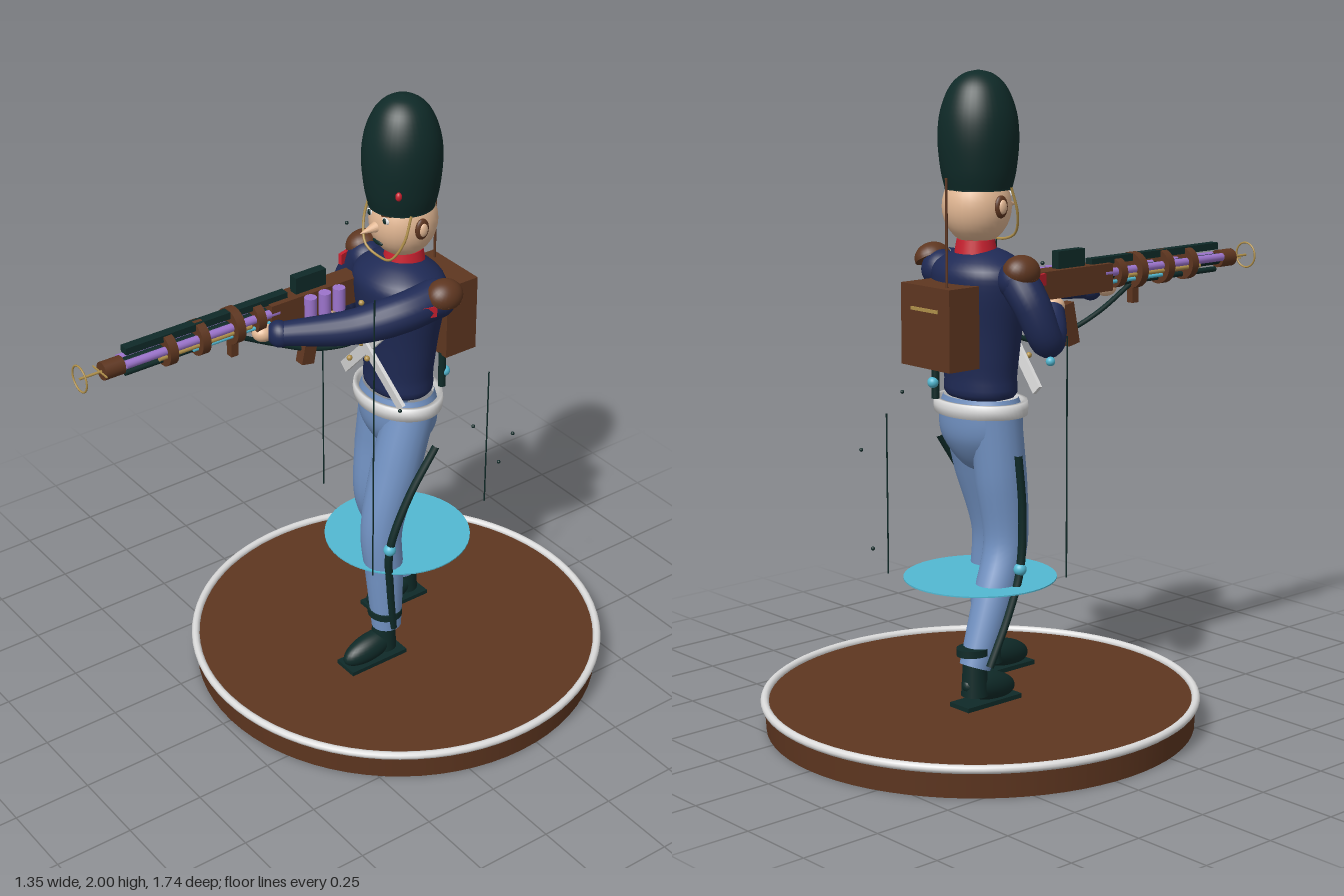
import * as THREE from 'three';

const mat = (name, color, side = THREE.FrontSide) => {
  const m = new THREE.MeshStandardMaterial({ color, side });
  m.name = name;
  return m;
};
const V = (p) => new THREE.Vector3(...p);

export function createModel() {
  const M = {
    brown: mat('brown', 0x5e3620),
    dark: mat('dark green', 0x0f2a28),
    white: mat('white', 0xdcdcdc),
    navy: mat('navy', 0x1f2a55),
    blue: mat('trouser blue', 0x7090c0),
    skin: mat('skin', 0xe3b894),
    red: mat('red', 0xc8202f),
    gold: mat('gold', 0xb0904a),
    cyan: mat('cyan', 0x52b8d2, THREE.DoubleSide),
    purple: mat('purple', 0x9c74cc),
  };
  const root = new THREE.Group();
  const add = (name, geo, m, pos = [0, 0, 0], rot = [0, 0, 0], scale = [1, 1, 1]) => {
    const mesh = new THREE.Mesh(geo, m);
    mesh.name = name;
    mesh.position.set(...pos);
    mesh.rotation.set(...rot);
    mesh.scale.set(...scale);
    root.add(mesh);
    return mesh;
  };
  const box = (w, h, d) => new THREE.BoxGeometry(w, h, d);
  const cyl = (r, h, r2 = r, n = 20) => new THREE.CylinderGeometry(r2, r, h, n);
  const ball = (name, m, pos, scale, rot) =>
    add(name, new THREE.SphereGeometry(1, 28, 18), m, pos, rot, scale);
  const lathe = (pts, n = 40, smooth = true) => {
    let p = pts.map((a) => new THREE.Vector2(...a));
    if (smooth) p = new THREE.SplineCurve(p).getPoints(28).map((q) => q.set(Math.max(q.x, 0), q.y));
    return new THREE.LatheGeometry(p, n);
  };
  // Tube through points whose radius varies along its length
  const limb = (name, m, pts, radii, seg = 18) => {
    const curve = new THREE.CatmullRomCurve3(pts.map(V));
    const n = 28, g = new THREE.TubeGeometry(curve, n, 1, seg), a = g.attributes.position;
    const v = new THREE.Vector3();
    for (let i = 0; i <= n; i++) {
      const c = curve.getPointAt(i / n), t = (i / n) * (radii.length - 1);
      const k = Math.min(Math.floor(t), radii.length - 2);
      const r = radii.length > 1 ? THREE.MathUtils.lerp(radii[k], radii[k + 1], t - k) : radii[0];
      for (let j = 0; j <= seg; j++) {
        const q = i * (seg + 1) + j;
        v.fromBufferAttribute(a, q).sub(c).multiplyScalar(r).add(c);
        a.setXYZ(q, v.x, v.y, v.z);
      }
    }
    return add(name, g, m);
  };
  // Straight flat bar between two points
  const bar = (name, m, a, b, w, d) => {
    const A = V(a), B = V(b), mesh = add(name, box(w, A.distanceTo(B), d), m);
    mesh.position.copy(A).lerp(B, 0.5);
    mesh.quaternion.setFromUnitVectors(new THREE.Vector3(0, 1, 0), B.clone().sub(A).normalize());
    return mesh;
  };
  const R = Math.PI / 2, Z = -0.19;

  // Round stand with pale rim
  add('standBase', cyl(0.66, 0.085, 0.665, 72), M.brown, [0, 0.0425, Z]);
  add('standRim', new THREE.TorusGeometry(0.664, 0.013, 10, 80), M.white, [0, 0.088, Z], [R, 0, 0]);
  add('glowDisc', cyl(0.235, 0.004, 0.235, 48), M.cyan, [0, 0.463, Z]);

  // Legs, stripes and shoes: left leg forward, right leg back
  const legs = [
    { s: 1, path: [[0.075, 0.98, -0.18], [0.083, 0.8, -0.12], [0.09, 0.58, -0.058], [0.105, 0.42, -0.06], [0.112, 0.22, -0.065]],
      stripe: [[0.177, 0.88, -0.2], [0.17, 0.72, -0.1], [0.165, 0.55, -0.035], [0.162, 0.4, -0.04], [0.155, 0.23, -0.06]], foot: 0, x: 0.11 },
    { s: -1, path: [[-0.075, 0.98, -0.19], [-0.083, 0.8, -0.18], [-0.088, 0.58, -0.165], [-0.098, 0.42, -0.225], [-0.1, 0.22, -0.3]],
      stripe: [[-0.175, 0.87, -0.19], [-0.17, 0.7, -0.17], [-0.165, 0.515, -0.175], [-0.162, 0.38, -0.22], [-0.157, 0.23, -0.29]], foot: -0.25, x: -0.105 },
  ];
  for (const { s, path, stripe, foot, x } of legs) {
    limb('leg', M.blue, path, [0.078, 0.08, 0.068, 0.061, 0.048]);
    limb('legStripe', M.dark, stripe, [0.012, 0.013, 0.012], 8);
    ball('kneeStud', M.cyan, stripe[2], [0.02, 0.02, 0.02]);
    add('ankleBand', cyl(0.052, 0.022), M.dark, [x, 0.275, foot - 0.06], [0, 0, 0], [s > 0 ? 1.1 : 0.9, 1, 1.05]);
    ball('shoe', M.dark, [x, 0.153, foot], [0.042, 0.045, 0.102], [0.2, 0, 0]);
    add('shoeAnkle', cyl(0.042, 0.1, 0.036), M.dark, [x, 0.185, foot - 0.055]);
    add('footPlate', box(0.085, 0.014, 0.215), M.dark, [x, 0.108, foot - 0.01]);
  }
  add('hips', lathe([[0, 0.79], [0.07, 0.82], [0.135, 0.9], [0.145, 0.98], [0.13, 1.03]]), M.blue, [0, 0, Z + 0.005], [0, 0, 0], [1, 1, 0.76]);

  // Jacket, belt and collar
  add('jacket', lathe([[0, 1.02], [0.115, 1.03], [0.125, 1.1], [0.142, 1.23], [0.165, 1.36], [0.158, 1.42], [0.1, 1.46], [0.04, 1.48]]),
    M.navy, [0, 0, Z + 0.005], [0, 0, 0], [1, 1, 0.78]);
  add('waistBelt', lathe([[0.145, 0.977], [0.16, 0.977], [0.163, 1], [0.16, 1.02], [0.145, 1.02], [0.145, 0.977]], 48, false),
    M.white, [0, 0, Z + 0.005], [0, 0, 0], [1, 1, 0.78]);
  add('neck', cyl(0.05, 0.08), M.skin, [0, 1.5, Z - 0.01]);
  add('collar', cyl(0.064, 0.04, 0.057, 32), M.red, [0, 1.483, Z - 0.012]);
  bar('chestStrap', M.white, [-0.15, 1.05, -0.09], [0.11, 1.31, -0.045], 0.036, 0.012);
  bar('chestStrap', M.white, [0.15, 1.05, -0.085], [-0.05, 1.29, -0.035], 0.036, 0.012);
  for (const [x, y] of [[0, 1.22], [-0.025, 1.24], [0.07, 1.27], [0.03, 1.18], [-0.06, 1.14], [0, 1.36]])
    ball('button', M.gold, [x, y, -0.043], [0.009, 0.009, 0.009]);

  // Arms, hands and shoulder pads
  limb('leftArm', M.navy, [[0.165, 1.4, -0.19], [0.15, 1.38, -0.09], [0.075, 1.34, 0.04], [-0.05, 1.32, 0.225]], [0.062, 0.06, 0.05, 0.036]);
  ball('leftShoulder', M.navy, [0.16, 1.395, -0.2], [0.062, 0.06, 0.062]);
  ball('leftCuff', M.navy, [-0.05, 1.32, 0.222], [0.042, 0.042, 0.036]);
  ball('leftHand', M.skin, [-0.085, 1.32, 0.255], [0.032, 0.028, 0.036]);
  limb('rightArm', M.navy, [[-0.17, 1.4, -0.19], [-0.22, 1.32, -0.175], [-0.235, 1.215, -0.13], [-0.18, 1.235, -0.06], [-0.13, 1.28, -0.01]], [0.06, 0.056, 0.05, 0.046, 0.036]);
  ball('rightShoulder', M.navy, [-0.17, 1.395, -0.19], [0.06, 0.06, 0.06]);
  ball('rightHand', M.skin, [-0.115, 1.29, 0.01], [0.03, 0.03, 0.034]);
  ball('elbowStud', M.cyan, [-0.26, 1.16, -0.14], [0.014, 0.014, 0.014]);
  for (const s of [-1, 1]) {
    add('shoulderPad', new THREE.SphereGeometry(0.06, 24, 10, 0, Math.PI * 2, 0, R), M.brown, [s * 0.2, 1.425, -0.2], [0, 0, -s * 0.5], [0.85, 0.8, 1]);
    add('shoulderPadBase', cyl(0.06, 0.006, 0.06, 24), M.brown, [s * 0.2, 1.425, -0.2], [0, 0, -s * 0.5], [0.85, 1, 1]);
    add('sleeveBadge', box(0.012, 0.035, 0.045), M.red, [s * 0.213, 1.395, -0.135], [0, -s * 0.3, 0]);
  }

  // Head and face
  ball('head', M.skin, [0, 1.6, -0.197], [0.102, 0.115, 0.106]);
  add('nose', new THREE.ConeGeometry(0.024, 0.085, 16), M.skin, [0, 1.598, -0.077], [R + 0.1, 0, 0]);
  for (const s of [-1, 1]) {
    ball('eyeWhite', M.white, [s * 0.038, 1.632, -0.103], [0.016, 0.01, 0.005]);
    ball('pupil', M.dark, [s * 0.038, 1.632, -0.099], [0.008, 0.009, 0.004]);
    add('eyebrow', box(0.036, 0.007, 0.008), M.brown, [s * 0.04, 1.65, -0.105], [0, s * 0.35, s * 0.15]);
    ball('ear', M.brown, [s * 0.1, 1.605, -0.19], [0.012, 0.034, 0.024]);
    ball('earInner', M.skin, [s * 0.107, 1.605, -0.19], [0.01, 0.022, 0.015]);
  }
  ball('mouth', M.dark, [0, 1.547, -0.103], [0.024, 0.008, 0.006]);
  limb('chinStrap', M.gold, [[-0.1, 1.66, -0.15], [-0.1, 1.58, -0.125], [-0.065, 1.515, -0.105], [0, 1.495, -0.11], [0.065, 1.515, -0.105], [0.1, 1.58, -0.125], [0.1, 1.66, -0.15]], [0.004, 0.004], 8);

  // Tall fur hat
  add('hat', lathe([[0.1, 1.652], [0.113, 1.71], [0.121, 1.8], [0.113, 1.88], [0.085, 1.95], [0.045, 1.988], [0, 2]]), M.dark, [0, 0, Z]);
  add('hatUnderside', cyl(0.101, 0.004, 0.101, 40), M.dark, [0, 1.653, Z]);
  ball('hatStud', M.red, [0.09, 1.73, -0.11], [0.01, 0.014, 0.01]);

  // Backpack with aerial and hose
  add('backpack', box(0.22, 0.245, 0.115), M.brown, [0, 1.258, -0.343]);
  add('packTrim', box(0.12, 0.01, 0.006), M.gold, [0, 1.31, -0.402]);
  add('aerial', cyl(0.004, 0.32, 0.004, 8), M.brown, [-0.07, 1.54, -0.375]);
  add('packHose', cyl(0.012, 0.12), M.dark, [0.08, 1.08, -0.295]);
  ball('packStud', M.cyan, [0.08, 1.07, -0.305], [0.017, 0.017, 0.017]);

  // Rifle along +z
  const gx = -0.108, gy = 1.365;
  const rod = (name, m, dx, dy, r, z0, z1, n = 14) =>
    add(name, cyl(r, z1 - z0, r, n), m, [gx + dx, gy + dy, (z0 + z1) / 2], [R, 0, 0]);
  add('stock', box(0.068, 0.085, 0.32), M.brown, [gx, gy - 0.005, 0.07]);
  add('topRail', box(0.03, 0.022, 0.56), M.dark, [gx, gy + 0.044, 0.44]);
  rod('barrel', M.dark, 0, 0, 0.018, 0.2, 0.74);
  rod('lowerRod', M.dark, 0, -0.032, 0.009, 0.2, 0.72);
  for (const s of [-1, 1]) {
    rod('energyTube', M.purple, s * 0.022, 0.008, 0.013, 0.2, 0.73);
    rod('coolantTube', M.cyan, s * 0.022, -0.022, 0.006, 0.2, 0.5);
    rod('brassTube', M.gold, s * 0.028, -0.008, 0.007, 0.3, 0.62);
  }
  for (const z of [0.27, 0.35, 0.47, 0.58]) rod('barrelRing', M.brown, 0, 0.002, z < 0.3 ? 0.047 : 0.056 * (1.15 - z * 0.4), z - 0.014, z + 0.014, 24);
  rod('muzzle', M.brown, 0, 0, 0.028, 0.73, 0.795, 20);
  rod('muzzlePin', M.gold, 0, 0, 0.004, 0.79, 0.868, 8);
  add('muzzleHoop', new THREE.TorusGeometry(0.04, 0.003, 8, 36), M.gold, [gx, gy, 0.867]);
  add('muzzleCross', box(0.08, 0.004, 0.004), M.gold, [gx, gy, 0.8]);
  add('sight', box(0.03, 0.058, 0.11), M.dark, [gx, 1.427, 0.075]);
  for (const z of [0, 0.052, 0.104]) add('vial', cyl(0.019, 0.075), M.purple, [-0.055, 1.365, z]);
  add('grip', box(0.034, 0.13, 0.045), M.brown, [-0.09, 1.225, 0.09], [-0.2, 0, 0]);
  add('foreGrip', box(0.025, 0.06, 0.025), M.brown, [gx, 1.295, 0.35]);
  limb('slingHose', M.dark, [[gx, 1.325, 0.34], [gx, 1.25, 0.2], [-0.09, 1.2, 0.08], [-0.07, 1.185, -0.03], [-0.05, 1.2, -0.08]], [0.008, 0.008], 8);

  // Floating thin beams and specks
  for (const [x, z, top] of [[-0.31, -0.12, 1.24], [0.197, 0.055, 1.49], [0.08, -0.485, 1]])
    add('beam', cyl(0.0025, top - 0.51, 0.0025, 6), M.dark, [x, (top + 0.51) / 2, z]);
  for (const p of [[0.235, 0.86, -0.46], [0.045, 0.61, -0.57], [0.3, 1, -0.245], [0.175, 1.06, -0.06], [-0.29, 1.46, -0.2]])
    ball('speck', M.dark, p, [0.006, 0.006, 0.006]);

  return root;
}
